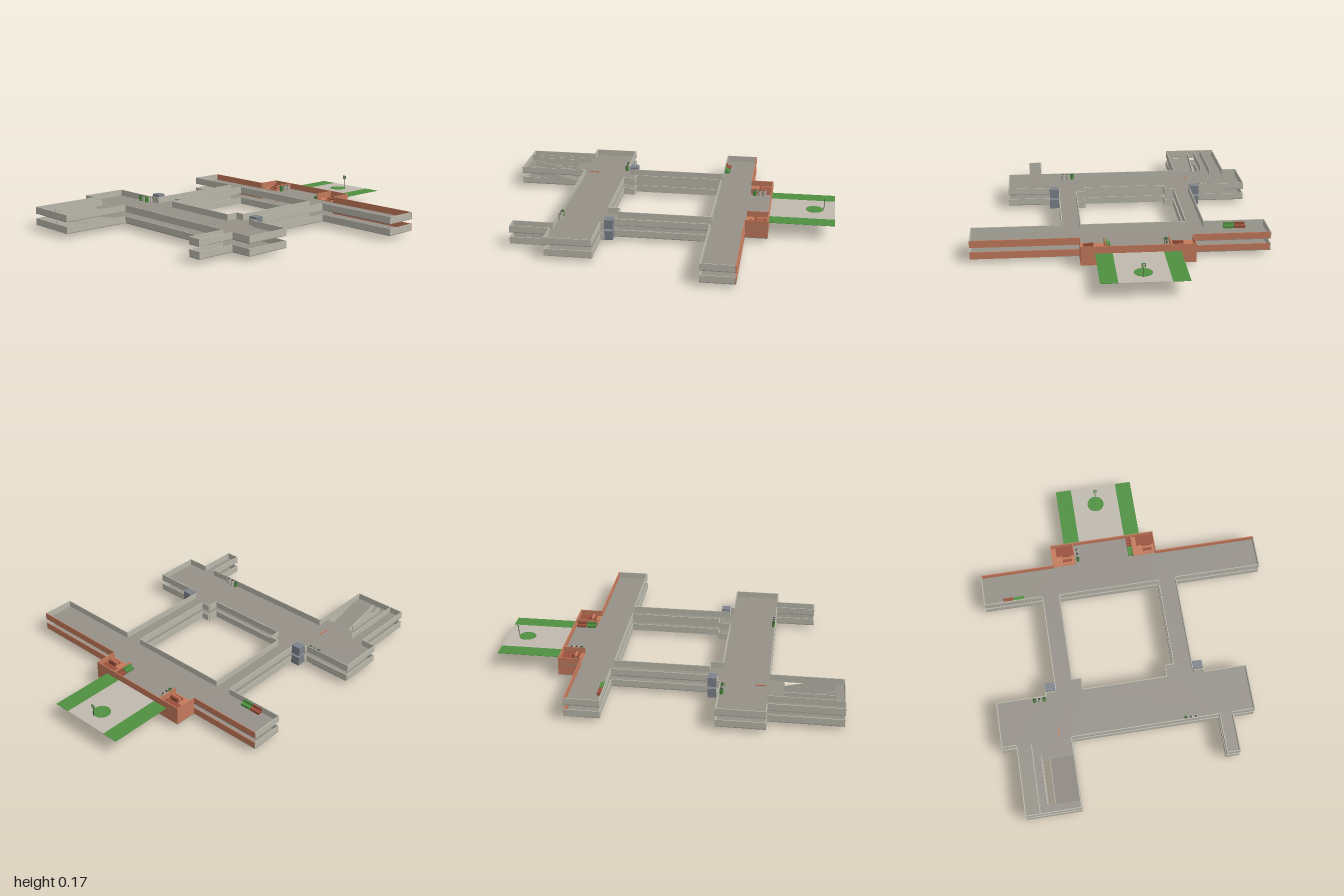
import * as THREE from 'three';

const mat = (name, color, double) => {
  const m = new THREE.MeshStandardMaterial({ color });
  m.name = name;
  if (double) m.side = THREE.DoubleSide;
  return m;
};

export function createModel() {
  const model = new THREE.Group();
  model.name = 'schoolBuilding';
  const wallGray = mat('wall gray', 0xbab8ab);
  const floorGray = mat('floor gray', 0x959189);
  const brick = mat('terracotta', 0xc47a5c);
  const brown = mat('dark terracotta', 0x9a4f3a);
  const green = mat('green', 0x4f9040, true);
  const path = mat('path beige', 0xbfb9af, true);
  const slate = mat('slate', 0x7d838b);
  const dark = mat('dark gray', 0x4a4844);

  const add = (parent, name, geo, material, x = 0, y = 0, z = 0) => {
    const m = new THREE.Mesh(geo, material);
    m.name = name;
    m.position.set(x, y, z);
    parent.add(m);
    return m;
  };
  // Box given by its limits
  const box = (parent, name, material, x0, x1, y0, y1, z0, z1) =>
    add(parent, name, new THREE.BoxGeometry(x1 - x0, y1 - y0, z1 - z0), material,
      (x0 + x1) / 2, (y0 + y1) / 2, (z0 + z1) / 2);

  // Plan: outer outline and courtyard, as x, z
  const outline = [
    [0.295, -0.84], [0.49, -0.84], [0.49, -0.4], [0.62, -0.4], [0.62, 0.235], [0.49, 0.235],
    [0.49, 0.84], [0.295, 0.84], [0.295, 0.325], [-0.3, 0.325], [-0.3, 0.385], [-0.32, 0.385],
    [-0.32, 0.635], [-0.59, 0.635], [-0.59, 0.505], [-0.82, 0.505], [-0.82, 0.425], [-0.59, 0.425],
    [-0.59, -0.435], [-1, -0.435], [-1, -0.755], [-0.59, -0.755], [-0.59, -0.84], [-0.32, -0.84],
    [-0.32, -0.55], [-0.3, -0.55], [-0.3, -0.49], [0.295, -0.49]];
  const court = [
    [-0.25, -0.39], [-0.25, -0.335], [-0.32, -0.335], [-0.32, 0.165], [-0.25, 0.165],
    [-0.25, 0.22], [0.295, 0.22], [0.295, -0.39]];
  const rect = (x0, x1, z0, z1) => [[x0, z0], [x1, z0], [x1, z1], [x0, z1]];
  const toPoints = (pts) => pts.map(([x, z]) => new THREE.Vector2(x, -z));
  const T = 0.005;

  const floorPlate = (parent, holes, y) => {
    const s = new THREE.Shape(toPoints(outline));
    holes.forEach((h) => s.holes.push(new THREE.Path(toPoints(h))));
    const g = new THREE.ExtrudeGeometry(s, { depth: 0.004, bevelEnabled: false });
    g.rotateX(-Math.PI / 2);
    add(parent, 'floor', g, floorGray, 0, y, 0);
  };

  // Low walls standing just inside each edge of a loop
  const wallLoop = (parent, pts, y0, y1, inward) => pts.forEach(([ax, az], i) => {
    const [bx, bz] = pts[(i + 1) % pts.length];
    const len = Math.hypot(bx - ax, bz - az);
    const nx = -(bz - az) / len * inward, nz = (bx - ax) / len * inward;
    const red = inward > 0 && i >= 1 && i <= 5;
    box(parent, red ? 'brickWall' : 'wall', red ? brick : wallGray,
      Math.min(ax, bx, ax + nx * T), Math.max(ax, bx, ax + nx * T), y0, y1,
      Math.min(az, bz, az + nz * T), Math.max(az, bz, az + nz * T));
  });

  // Two storeys
  const wellLow = rect(-0.95, -0.67, -0.62, -0.58);
  const wellHigh = rect(-0.95, -0.67, -0.62, -0.44);
  [[0.022, wellLow, 'groundStorey'], [0.09, wellHigh, 'upperStorey']].forEach(([y, well, name]) => {
    const g = new THREE.Group();
    g.name = name;
    model.add(g);
    floorPlate(g, [court, well], y);
    wallLoop(g, outline, y, y + 0.041, 1);
    wallLoop(g, court, y, y + 0.041, -1);
    // Shafts and gray links beside the bridges
    for (const [z0, z1] of [[-0.545, -0.49], [0.325, 0.38]])
      box(g, 'shaft', slate, -0.3, -0.252, y, y + 0.054, z0, z1);
    // Corridor wall by the ramp
    box(g, 'corridorWall', wallGray, -0.995, -0.59, y, y + 0.041, -0.672, -0.668);
    box(g, 'wellRail', wallGray, -0.95, -0.67, y, y + 0.041, -0.624, -0.62);
  });

  // Ramp joining the storeys, with sloping rails
  const slope = (name, material, low, high, z, depth) => {
    const s = new THREE.Shape([
      new THREE.Vector2(-0.95, 0.09 + low), new THREE.Vector2(-0.67, 0.024 + low),
      new THREE.Vector2(-0.67, 0.024 + high), new THREE.Vector2(-0.95, 0.09 + high)]);
    add(model, name, new THREE.ExtrudeGeometry(s, { depth, bevelEnabled: false }), material, 0, 0, z);
  };
  slope('ramp', floorGray, -0.002, 0.003, -0.58, 0.14);
  slope('rampRail', wallGray, 0, 0.04, -0.58, 0.004);
  slope('rampRail', wallGray, 0, 0.04, -0.4395, 0.004);

  // Entrance block with two stair towers
  box(model, 'entranceWall', brick, 0.6155, 0.6205, 0.022, 0.131, -0.4, 0.235);
  for (const [z0, z1] of [[-0.4, -0.26], [0.095, 0.235]]) {
    const t = new THREE.Group();
    t.name = 'stairTower';
    model.add(t);
    box(t, 'towerWall', brick, 0.49, 0.62, 0.022, 0.131, z0, z0 + T);
    box(t, 'towerWall', brick, 0.49, 0.62, 0.022, 0.131, z1 - T, z1);
    box(t, 'towerFloor', brick, 0.49, 0.615, 0.093, 0.097, z0 + T, z1 - T);
    box(t, 'landing', brown, 0.555, 0.615, 0.097, 0.1, z0 + 0.03, z1 - T);
    for (let i = 0; i < 4; i++)
      box(t, 'step', i % 2 ? brown : brick, 0.497 + i * 0.014, 0.511 + i * 0.014,
        0.097, 0.103 + i * 0.006, z0 + 0.065, z1 - 0.02);
    // Wedge foot under the tower
    const foot = new THREE.Shape([new THREE.Vector2(0.49, 0), new THREE.Vector2(0.525, 0.023),
      new THREE.Vector2(0.49, 0.023)]);
    add(t, 'foot', new THREE.ExtrudeGeometry(foot, { depth: 0.012, bevelEnabled: false }), brown,
      0, 0, (z0 + z1) / 2 - 0.006);
  }

  // Terrace: path, lawns and round bed
  box(model, 'terracePath', path, 0.62, 1, 0.088, 0.09, -0.22, 0.06);
  box(model, 'lawn', green, 0.62, 1, 0.088, 0.09, -0.315, -0.22);
  box(model, 'lawn', green, 0.62, 1, 0.088, 0.09, 0.06, 0.155);
  add(model, 'roundBed', new THREE.CylinderGeometry(0.05, 0.05, 0.002, 32), green, 0.88, 0.091, -0.08);
  // Sign on a pole
  box(model, 'signPole', dark, 0.933, 0.936, 0.09, 0.147, -0.0765, -0.0735);
  box(model, 'signFrame', green, 0.932, 0.937, 0.145, 0.166, -0.086, -0.064);
  box(model, 'signPanel', path, 0.9315, 0.9375, 0.149, 0.162, -0.082, -0.068);

  // Groups of three bins
  const bins = (x, z, dx, dz, colours) => colours.forEach((c, i) => {
    const px = x + dx * i, pz = z + dz * i;
    add(model, 'bin', new THREE.CylinderGeometry(0.012, 0.01, 0.032, 16), c, px, 0.11, pz);
    add(model, 'binLid', new THREE.CylinderGeometry(0.008, 0.008, 0.003, 16), dark, px, 0.126, pz);
  });
  bins(-0.335, -0.62, 0, 0.029, [green, wallGray, green]);
  bins(-0.577, 0.23, 0, 0.029, [green, wallGray, wallGray]);
  bins(0.515, -0.243, 0.029, 0, [green, wallGray, wallGray]);

  // Benches with backs
  [[green, -0.66, -0.6], [brown, -0.725, -0.665]].forEach(([c, z0, z1]) => {
    box(model, 'benchSeat', c, 0.3, 0.33, 0.094, 0.108, z0, z1);
    box(model, 'benchBack', c, 0.3, 0.308, 0.108, 0.122, z0, z1);
  });
  [[green, 0.495, 0.55], [brown, 0.555, 0.61]].forEach(([c, x0, x1]) => {
    box(model, 'benchSeat', c, x0, x1, 0.094, 0.108, 0.066, 0.094);
    box(model, 'benchBack', c, x0, x1, 0.108, 0.122, 0.086, 0.094);
  });
  // Floor mark in the west wing
  box(model, 'floorMark', brick, -0.57, -0.51, 0.094, 0.1, -0.508, -0.502);
  return model;
}
